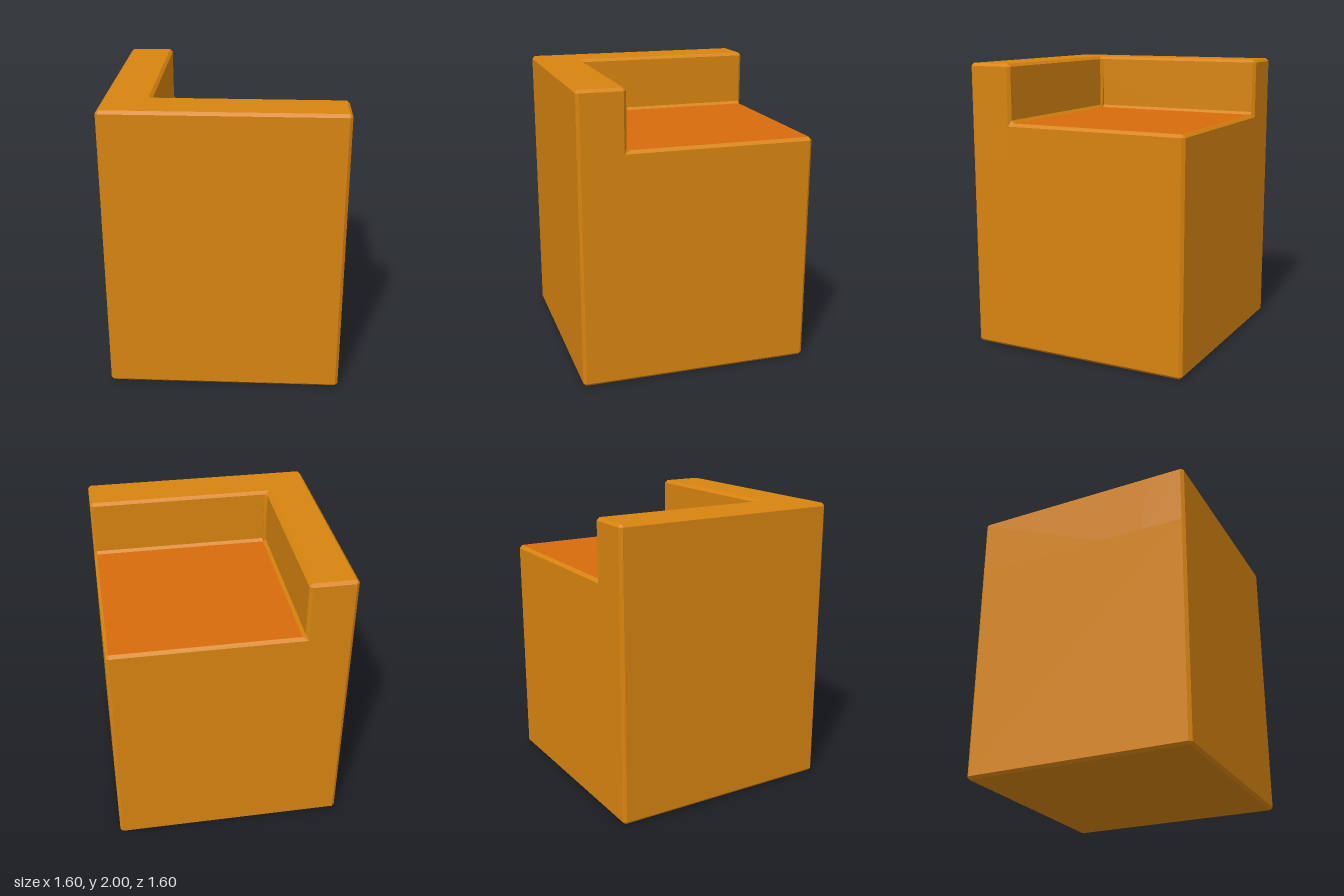
import * as THREE from 'three';
import { ConvexGeometry } from 'three/addons/geometries/ConvexGeometry.js';

const BEVEL = 0.02;

const hull = (points) => new ConvexGeometry(points.map((p) => new THREE.Vector3(...p)));

// Box between two corners with every edge chamfered
function chamferBox(min, max) {
  const points = [];
  for (let corner = 0; corner < 8; corner++) {
    for (let outer = 0; outer < 3; outer++) {
      points.push([0, 1, 2].map((axis) => {
        const inset = axis === outer ? 0 : BEVEL;
        return (corner >> axis) & 1 ? max[axis] - inset : min[axis] + inset;
      }));
    }
  }
  return hull(points);
}

export function createModel() {
  const group = new THREE.Group();
  const amber = new THREE.MeshStandardMaterial({ color: 0xd88410 });
  amber.name = 'amber';
  const orange = new THREE.MeshStandardMaterial({ color: 0xd86c0d });
  orange.name = 'orange';

  const add = (name, geometry, material = amber) => {
    const mesh = new THREE.Mesh(geometry, material);
    mesh.name = name;
    group.add(mesh);
    return mesh;
  };

  // Solid base, and two parapet walls sunk into it that form an L
  add('base', chamferBox([-0.8, 0, -0.8], [0.8, 1.6, 0.8]));
  add('frontWall', chamferBox([-0.8, 1.3, 0.48], [0.8, 2, 0.8]));
  add('rightWall', chamferBox([-0.8, 1.3, -0.8], [-0.48, 2, 0.8]));

  // Sloped fillet where the floor meets a wall, tapering into the outer edge
  const floorFillet = [
    [-0.5, 1.58, -0.8],
    [-0.48, 1.62, -0.78], [-0.48, 1.6, -0.78], [-0.46, 1.6, -0.78],
    [-0.48, 1.62, 0.46], [-0.48, 1.6, 0.46], [-0.46, 1.6, 0.46],
  ];
  add('rightFloorFillet', hull(floorFillet));
  // The front wall's fillet is the same one mirrored across the diagonal
  add('frontFloorFillet', hull(floorFillet.map(([x, y, z]) => [-z, y, -x])));

  // Upright fillet in the inner corner, with its three-way foot
  add('cornerFillet', hull([
    [-0.5, 2, 0.5],
    [-0.48, 1.98, 0.46], [-0.46, 1.98, 0.48], [-0.48, 1.98, 0.48],
    [-0.48, 1.62, 0.46], [-0.46, 1.62, 0.48],
    [-0.46, 1.6, 0.46], [-0.48, 1.6, 0.46], [-0.46, 1.6, 0.48], [-0.48, 1.6, 0.48],
  ]));

  // Coloured floor panel
  const floor = add('floor', new THREE.PlaneGeometry(1.24, 1.24).rotateX(-Math.PI / 2), orange);
  floor.position.set(0.16, 1.602, -0.16);

  return group;
}
